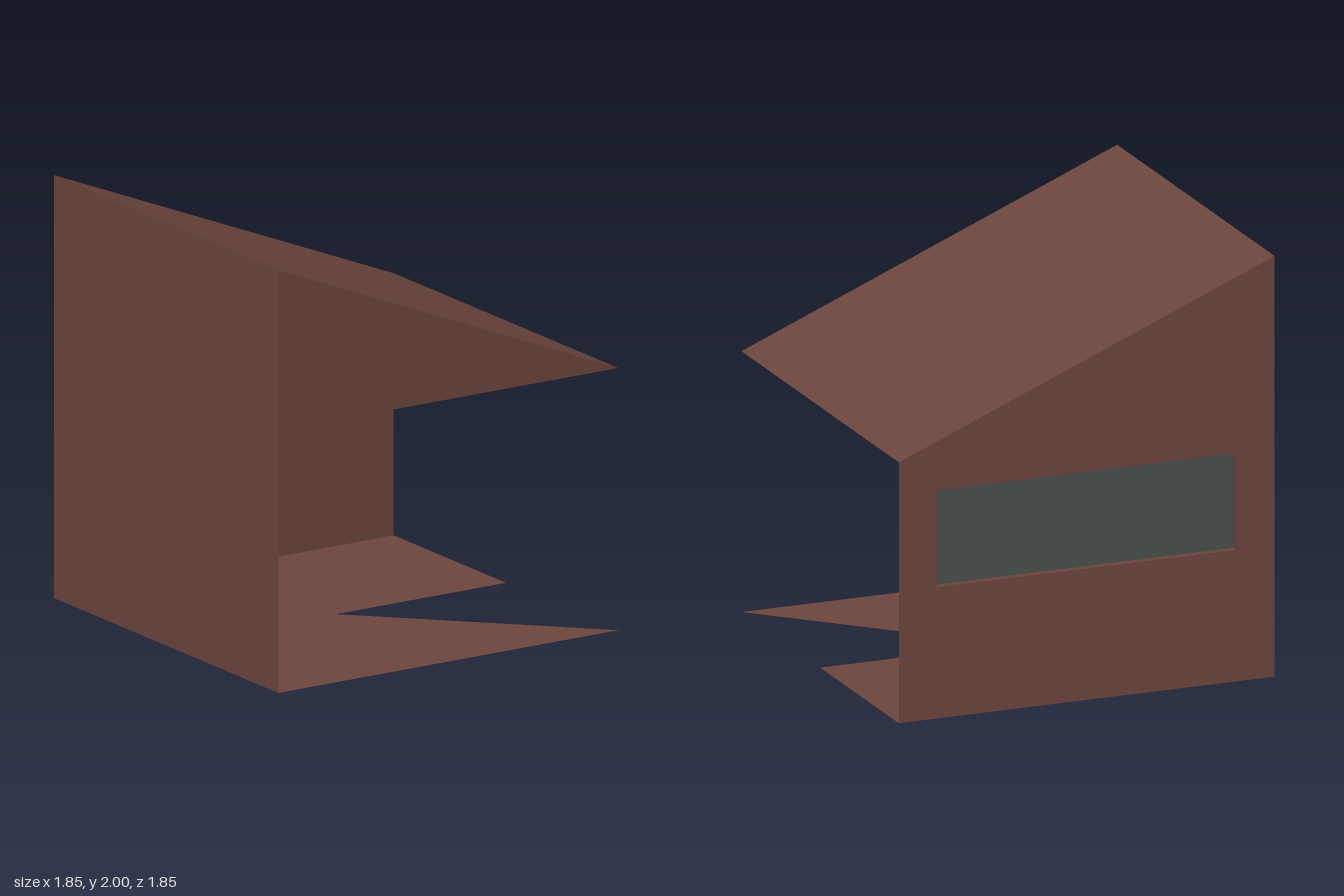
import * as THREE from 'three';

const H = 0.925;               // half width and half depth
const LOW = 1.24, HIGH = 2;    // eave heights
const WX = 0.737, WY0 = 0.625, WY1 = 1.085, WZ = -0.89; // window opening and glass plane

const brown = new THREE.MeshStandardMaterial({ color: 0x6d463e, side: THREE.DoubleSide });
brown.name = 'brownCladding';
const grey = new THREE.MeshStandardMaterial({ color: 0x4b5150, side: THREE.DoubleSide });
grey.name = 'greyGlass';

// Flat panel fanned out from its first corner
function panel(name, corners, material = brown) {
  const pts = [];
  for (let i = 1; i < corners.length - 1; i++) pts.push(...corners[0], ...corners[i], ...corners[i + 1]);
  const geo = new THREE.BufferGeometry();
  geo.setAttribute('position', new THREE.Float32BufferAttribute(pts, 3));
  geo.computeVertexNormals();
  const mesh = new THREE.Mesh(geo, material);
  mesh.name = name;
  return mesh;
}

export function createModel() {
  const model = new THREE.Group();
  model.name = 'shelter';

  // Sloping roof, high side wall and front gable above the open front
  model.add(panel('roof', [[-H, HIGH, H], [H, LOW, H], [H, LOW, -H], [-H, HIGH, -H]]));
  model.add(panel('sideWall', [[-H, 0, -H], [-H, 0, H], [-H, HIGH, H], [-H, HIGH, -H]]));
  model.add(panel('frontGable', [[-H, LOW, H], [H, LOW, H], [-H, HIGH, H]]));

  // Floor with a triangular notch from the centre to the open side
  model.add(panel('floor', [[0, 0, 0], [H, 0, H], [-H, 0, H], [-H, 0, -H], [H, 0, -H], [H, 0, 0]]));

  // Back wall with a window opening, turned to face backwards
  const wall = new THREE.Shape([[-H, 0], [H, 0], [H, HIGH], [-H, LOW]].map(p => new THREE.Vector2(...p)));
  const opening = [[-WX, WY0], [-WX, WY1], [WX, WY1], [WX, WY0]];
  wall.holes.push(new THREE.Path(opening.map(p => new THREE.Vector2(...p))));
  const backWall = new THREE.Mesh(new THREE.ShapeGeometry(wall).rotateY(Math.PI).translate(0, 0, -H), brown);
  backWall.name = 'backWall';
  model.add(backWall);

  // Window reveals and recessed glass
  const backWindow = new THREE.Group();
  backWindow.name = 'window';
  opening.forEach(([x, y], i) => {
    const [u, v] = opening[(i + 1) % 4];
    backWindow.add(panel('windowReveal', [[x, y, WZ], [x, y, -H], [u, v, -H], [u, v, WZ]]));
  });
  backWindow.add(panel('windowGlass', opening.map(([x, y]) => [x, y, WZ]), grey));
  model.add(backWindow);

  return model;
}
